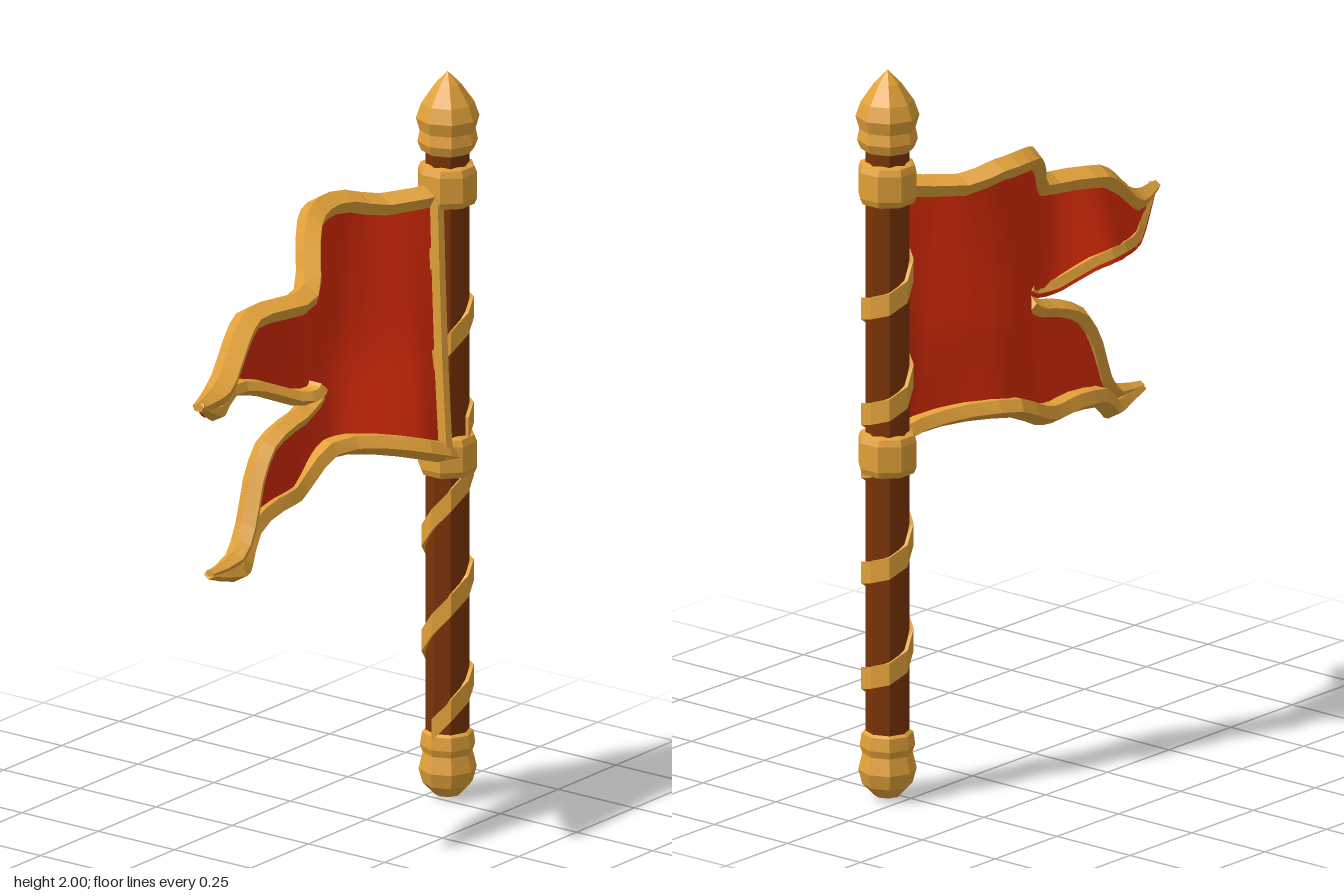
import * as THREE from 'three';

const gold = new THREE.MeshStandardMaterial({ color: 0xe2a139, flatShading: true });
const wood = new THREE.MeshStandardMaterial({ color: 0x7a3305, flatShading: true });
const red = new THREE.MeshStandardMaterial({ color: 0xda2b07, side: THREE.DoubleSide });
gold.name = 'gold';
wood.name = 'wood';
red.name = 'red cloth';

const POLE_X = 0.533, POLE_Z = 0.052;

// Smooth curve through a few points, returned as [x, y] pairs
function smooth(points) {
  const curve = new THREE.SplineCurve(points.map(([x, y]) => new THREE.Vector2(x, y)));
  return curve.getPoints(points.length * 2 - 2).map((p) => [p.x, p.y]);
}

// Outline of the cloth, each edge listed from left to right
const topEdge = smooth([[-0.615, 1.402], [-0.52, 1.41], [-0.45, 1.435], [-0.35, 1.505], [-0.27, 1.55], [-0.17, 1.56], [-0.07, 1.568], [0, 1.635], [0.08, 1.7], [0.17, 1.72], [0.27, 1.715], [0.36, 1.69], [0.5, 1.705]]);
const upperNotch = smooth([[-0.615, 1.385], [-0.53, 1.33], [-0.43, 1.29], [-0.3, 1.3], [-0.2, 1.285], [-0.1, 1.24], [-0.03, 1.235], [0.005, 1.255]]);
const lowerNotch = smooth([[-0.485, 0.895], [-0.38, 0.915], [-0.32, 0.975], [-0.27, 1.08], [-0.21, 1.17], [-0.12, 1.215], [-0.04, 1.235], [0.005, 1.26]]);
const bottomEdge = smooth([[-0.485, 0.868], [-0.37, 0.83], [-0.3, 0.845], [-0.22, 0.9], [-0.1, 0.92], [0, 0.92], [0.1, 0.945], [0.2, 0.99], [0.3, 0.99], [0.4, 0.965], [0.5, 0.93]]);

// Ripple of the cloth along its top, along both sides of the notch and along its bottom
const waveTop = smooth([[-0.62, 0.105], [-0.45, 0.055], [-0.35, 0.02], [-0.25, 0.002], [-0.16, 0.035], [-0.08, 0.045], [0, -0.015], [0.1, -0.075], [0.22, -0.097], [0.33, -0.06], [0.4, -0.01], [0.5, 0.055]]);
const waveBody = [[0, 0.015], [0.1, -0.075], [0.2, -0.115], [0.32, -0.05], [0.42, 0.03], [0.5, 0.065]];
const waveUpper = smooth([[-0.62, 0.1], [-0.52, 0.045], [-0.4, -0.02], [-0.28, -0.07], [-0.2, -0.05], [-0.1, -0.005], ...waveBody]);
const waveLower = smooth([[-0.485, 0.045], [-0.38, 0.04], [-0.27, 0.01], [-0.18, 0.01], [-0.09, 0.02], ...waveBody]);
const waveBottom = smooth([[-0.485, 0.04], [-0.38, 0.04], [-0.3, 0.015], [-0.2, -0.03], [-0.1, -0.045], [0, -0.06], [0.1, -0.085], [0.22, -0.085], [0.32, 0], [0.42, 0.07], [0.5, 0.08]]);

function at(points, x) {
  if (x <= points[0][0]) return points[0][1];
  for (let i = 1; i < points.length; i++) {
    const [x0, y0] = points[i - 1], [x1, y1] = points[i];
    if (x <= x1) return y0 + (y1 - y0) * (x - x0) / (x1 - x0);
  }
  return points[points.length - 1][1];
}

// Depth of the cloth, blended between the ripples
function clothZ(x, y) {
  const upper = y >= at(upperNotch, x) - 0.005;
  const [lo, hi, zLo, zHi] = upper
    ? [upperNotch, topEdge, waveUpper, waveTop]
    : [bottomEdge, lowerNotch, waveBottom, waveLower];
  const k = THREE.MathUtils.clamp((y - at(lo, x)) / (at(hi, x) - at(lo, x)), 0, 1);
  return THREE.MathUtils.lerp(at(zLo, x), at(zHi, x), k);
}

// Skin a row of closed cross-sections and cap both ends
function loft(rings) {
  const pos = [], n = rings[0].length;
  const tri = (a, b, c) => pos.push(...a, ...b, ...c);
  for (let i = 0; i + 1 < rings.length; i++) {
    for (let j = 0; j < n; j++) {
      const k = (j + 1) % n;
      tri(rings[i][j], rings[i][k], rings[i + 1][k]);
      tri(rings[i][j], rings[i + 1][k], rings[i + 1][j]);
    }
  }
  const first = rings[0], last = rings[rings.length - 1];
  for (let j = 1; j + 1 < n; j++) {
    tri(first[0], first[j + 1], first[j]);
    tri(last[0], last[j], last[j + 1]);
  }
  const g = new THREE.BufferGeometry();
  g.setAttribute('position', new THREE.Float32BufferAttribute(pos, 3));
  g.computeVertexNormals();
  return g;
}

// Ridged trim; the outside of the cloth lies left of the direction of travel
function trim(path, size, forward = 0) {
  const section = [[0, 0], [-0.024, 0.041], [-0.056, 0.026], [-0.056, -0.026], [-0.024, -0.041]];
  return loft(path.map(([x, y], i) => {
    const a = path[Math.max(i - 1, 0)], b = path[Math.min(i + 1, path.length - 1)];
    const len = Math.hypot(b[0] - a[0], b[1] - a[1]);
    const nx = -(b[1] - a[1]) / len, ny = (b[0] - a[0]) / len;
    const s = size(x), z = clothZ(x, y);
    return section.map(([n, d]) => [x + nx * n * s, y + ny * n * s, z + (d + forward) * s]);
  }));
}

// Smooth sheet of cloth between two edges
function sheet(x0, x1, low, high, lowInset = 0.02) {
  const cols = 28, rows = 12, pos = [], index = [];
  for (let i = 0; i <= cols; i++) {
    const x = x0 + (x1 - x0) * i / cols;
    const gap = at(high, x) - at(low, x);
    const lo = at(low, x) + Math.min(lowInset, gap * 0.3);
    const hi = at(high, x) - Math.min(0.02, gap * 0.3);
    for (let j = 0; j <= rows; j++) {
      const y = lo + (hi - lo) * j / rows;
      pos.push(x, y, clothZ(x, y));
      if (i < cols && j < rows) {
        const a = i * (rows + 1) + j, b = a + rows + 1;
        index.push(a, b, b + 1, a, b + 1, a + 1);
      }
    }
  }
  const g = new THREE.BufferGeometry();
  g.setAttribute('position', new THREE.Float32BufferAttribute(pos, 3));
  g.setIndex(index);
  g.computeVertexNormals();
  return g;
}

// Ribbon climbing round the pole; yRight is its height on the +x side
function spiral(yRight, yStart, yEnd) {
  const pitch = 0.29, rings = [];
  const first = Math.ceil((yStart - yRight) / pitch * 8), last = Math.floor((yEnd - yRight) / pitch * 8);
  for (let i = first; i <= last; i++) {
    const t = i * Math.PI / 4, y = yRight + pitch * i / 8 - 0.03 * Math.sin(t);
    rings.push([[0.03, 0.069], [-0.03, 0.069], [-0.03, 0.045], [0.03, 0.045]].map(
      ([dy, r]) => [r * Math.cos(t), y + dy, -r * Math.sin(t)]));
  }
  return loft(rings);
}

export function createModel() {
  const model = new THREE.Group();
  const add = (name, geometry, material, parent) => {
    const mesh = new THREE.Mesh(geometry, material);
    mesh.name = name;
    parent.add(mesh);
    return mesh;
  };

  // Pole with its gold fittings
  const staff = new THREE.Group();
  staff.name = 'staff';
  staff.position.set(POLE_X, 0, POLE_Z);
  model.add(staff);
  const turned = (name, profile) => add(name,
    new THREE.LatheGeometry(profile.map(([r, y]) => new THREE.Vector2(r, y)), 8), gold, staff);

  add('pole', new THREE.CylinderGeometry(0.058, 0.058, 1.67, 8).translate(0, 0.985, 0), wood, staff);
  turned('footKnob', [[0, 0], [0.035, 0.008], [0.066, 0.04], [0.077, 0.08], [0.066, 0.125], [0.073, 0.145], [0.068, 0.18], [0.055, 0.188]]);
  turned('finial', [[0.05, 1.775], [0.07, 1.785], [0.08, 1.81], [0.074, 1.84], [0.084, 1.875], [0.07, 1.915], [0.035, 1.965], [0, 2]]);
  for (const [name, y] of [['lowerCollar', 0.95], ['upperCollar', 1.692]]) {
    const collar = turned(name, [[0.055, y - 0.058], [0.073, y - 0.052], [0.08, y - 0.035], [0.08, y + 0.035], [0.073, y + 0.052], [0.055, y + 0.058]]);
    collar.rotation.y = Math.PI / 8;
  }
  add('lowerSpiral', spiral(0.345, 0.19, 0.93), gold, staff);
  add('upperSpiral', spiral(1.07, 0.97, 1.51), gold, staff);

  // Swallow-tailed cloth with gold edging
  const flag = new THREE.Group();
  flag.name = 'flag';
  model.add(flag);
  add('clothBody', sheet(0, 0.49, bottomEdge, topEdge), red, flag);
  add('upperTail', sheet(-0.6, 0, upperNotch, topEdge, 0.004), red, flag);
  add('lowerTail', sheet(-0.475, 0, bottomEdge, lowerNotch), red, flag);

  const taper = (tip) => (x) => THREE.MathUtils.clamp(0.42 + (x - tip) * 4.5, 0.42, 1);
  const upperSize = taper(-0.615), lowerSize = taper(-0.485);
  add('topTrim', trim(topEdge, upperSize), gold, flag);
  add('upperNotchTrim', trim([...upperNotch].reverse(), (x) => 0.75 * upperSize(x), 0.036), gold, flag);
  add('lowerNotchTrim', trim(lowerNotch, (x) => 0.8 * lowerSize(x)), gold, flag);
  add('bottomTrim', trim([...bottomEdge].reverse(), lowerSize), gold, flag);
  add('hoistTrim', trim([[0.487, 1.68], [0.487, 1.45], [0.487, 1.2], [0.487, 0.96]], () => 0.5, 0.03), gold, flag);

  return model;
}
